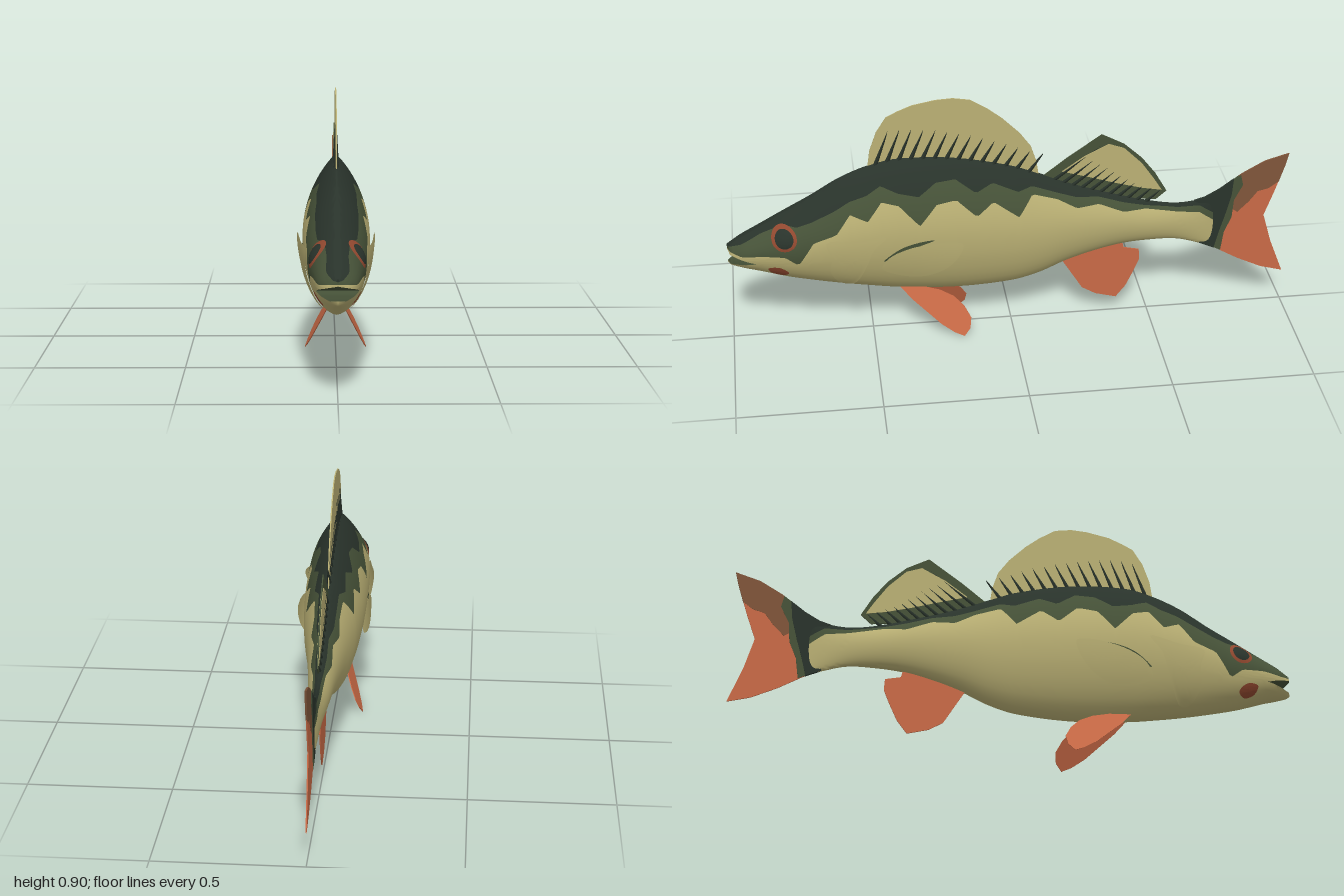
import * as THREE from 'three';
import { toCreasedNormals, mergeGeometries } from 'three/addons/utils/BufferGeometryUtils.js';

const mat = (name, color) => {
  const m = new THREE.MeshStandardMaterial({ color, side: THREE.DoubleSide });
  m.name = name;
  return m;
};

// Body stations: [z, top, bottom, half width]
const STATIONS = [
  [1, 0.388, 0.315, 0], [0.99, 0.395, 0.305, 0.034], [0.95, 0.422, 0.292, 0.058], [0.9, 0.45, 0.278, 0.072],
  [0.8, 0.507, 0.245, 0.086], [0.7, 0.562, 0.22, 0.097], [0.6, 0.622, 0.198, 0.105], [0.5, 0.663, 0.18, 0.11],
  [0.4, 0.685, 0.165, 0.112], [0.2, 0.675, 0.15, 0.109], [0, 0.63, 0.16, 0.094], [-0.1, 0.59, 0.185, 0.081],
  [-0.2, 0.548, 0.228, 0.067], [-0.3, 0.512, 0.26, 0.055], [-0.4, 0.48, 0.282, 0.045], [-0.5, 0.45, 0.289, 0.036],
  [-0.6, 0.434, 0.285, 0.024], [-0.7, 0.445, 0.255, 0.012], [-0.74, 0.46, 0.245, 0.003],
];
// Colour borders: [z, dark back edge, green edge]
const BORDERS = [
  [1, 0.38, 0.372], [0.95, 0.4, 0.362], [0.88, 0.44, 0.37], [0.8, 0.475, 0.365], [0.755, 0.47, 0.33],
  [0.7, 0.49, 0.42], [0.62, 0.53, 0.45], [0.57, 0.56, 0.52], [0.51, 0.58, 0.495], [0.46, 0.61, 0.56],
  [0.4, 0.585, 0.545], [0.33, 0.57, 0.47], [0.27, 0.61, 0.54], [0.2, 0.615, 0.55], [0.13, 0.565, 0.485],
  [0.07, 0.59, 0.53], [-0.02, 0.55, 0.465], [-0.07, 0.56, 0.535], [-0.16, 0.525, 0.505], [-0.23, 0.5, 0.465],
  [-0.31, 0.49, 0.468], [-0.4, 0.46, 0.43], [-0.48, 0.44, 0.43], [-0.6, 0.42, 0.405], [-0.68, 0.42, 0.395], [-0.74, 0.38, 0.35],
];

// Table lookup by z (descending), straight or smooth between rows
function lookup(table, z, col, smooth) {
  let i = 0;
  while (i < table.length - 2 && z < table[i + 1][0]) i++;
  const a = table[i], b = table[i + 1], h = b[0] - a[0];
  const t = THREE.MathUtils.clamp((z - a[0]) / h, 0, 1);
  if (!smooth) return a[col] + (b[col] - a[col]) * t;
  const p = table[Math.max(i - 1, 0)], n = table[Math.min(i + 2, table.length - 1)];
  const m0 = (b[col] - p[col]) / (b[0] - p[0]) * h, m1 = (n[col] - a[col]) / (n[0] - a[0]) * h;
  const t2 = t * t, t3 = t2 * t;
  return (2 * t3 - 3 * t2 + 1) * a[col] + (t3 - 2 * t2 + t) * m0 + (3 * t2 - 2 * t3) * b[col] + (t3 - t2) * m1;
}
const section = (z) => ({
  top: lookup(STATIONS, z, 1, true), bot: lookup(STATIONS, z, 2, true), w: Math.max(0, lookup(STATIONS, z, 3, z < 0.95)),
});
const angleAt = (s, y) => Math.acos(THREE.MathUtils.clamp(1 - 2 * (y - s.bot) / (s.top - s.bot), -1, 1));
const widthAt = (s, a) => s.w * Math.pow(Math.max(0, Math.sin(a)), a > Math.PI / 2 ? 1.75 : 1.2);
const bodyX = (z, y) => { const s = section(z); return widthAt(s, angleAt(s, y)); };

// Triangles of a grid of points, flipped for the right side
function gridTriangles(out, pts, side) {
  for (let i = 0; i < pts.length - 1; i++) for (let j = 0; j < pts[i].length - 1; j++) {
    const a = pts[i][j], b = pts[i + 1][j], c = pts[i + 1][j + 1], d = pts[i][j + 1];
    for (const t of side > 0 ? [a, b, c, a, c, d] : [a, c, b, a, d, c]) out.push(...t);
  }
}
function fromPositions(pos) {
  const g = new THREE.BufferGeometry();
  g.setAttribute('position', new THREE.Float32BufferAttribute(pos, 3));
  return g;
}

// Body skin in horizontal colour bands, with an open mouth at the front
function bodyGeometry() {
  const zs = [1, 0.996];
  for (let i = 0; i <= 144; i++) zs.push(0.99 - 1.73 * i / 144);
  const edges = (z) => {
    const s = section(z), m = s.bot + 0.33 * (s.top - s.bot);
    const open = Math.max(0, (z - 0.9) / 0.1);
    const hi = m + open * 0.028, lo = m - open * 0.018;
    const green = Math.max(hi, lookup(BORDERS, z, 2)), dark = Math.max(green, lookup(BORDERS, z, 1));
    return { s, list: [s.bot, lo, hi, green, dark, s.top] };
  };
  const bands = [[0, 1, 7, 2], [2, 3, 8, 2], [3, 4, 4, 1], [4, 5, 7, 0]];
  const pos = [], groups = [];
  for (const [from, to, rows, material] of bands) {
    const start = pos.length / 3;
    for (const side of [1, -1]) {
      gridTriangles(pos, zs.map((z) => {
        const { s, list } = edges(z), a0 = angleAt(s, list[from]), a1 = angleAt(s, list[to]);
        return Array.from({ length: rows + 1 }, (_, j) => {
          const a = a0 + (a1 - a0) * j / rows;
          return [side * widthAt(s, a), s.bot + (s.top - s.bot) * (1 - Math.cos(a)) / 2, z];
        });
      }), side);
    }
    groups.push([start, pos.length / 3 - start, material]);
  }
  // Roof and floor of the mouth
  const start = pos.length / 3;
  for (const [k, side] of [[2, 1], [1, -1]]) {
    gridTriangles(pos, zs.filter((z) => z > 0.89).map((z) => {
      const { s, list } = edges(z), x = widthAt(s, angleAt(s, list[k]));
      return [[-x, list[k], z], [x, list[k], z]];
    }), -side);
  }
  groups.push([start, pos.length / 3 - start, 1]);
  const g = toCreasedNormals(fromPositions(pos), 1.1);
  g.clearGroups();
  groups.forEach((v) => g.addGroup(...v));
  return g;
}

// Closed outline in (z, y) laid over the body, raised by lift(z, y, k), k = 0 centre to 1 rim
function patch(outline, side, lift) {
  const curve = new THREE.CatmullRomCurve3(outline.map(([z, y]) => new THREE.Vector3(0, y, z)), true, 'centripetal');
  const rim = curve.getPoints(40);
  const c = rim.slice(1).reduce((v, p) => v.addScaledVector(p, 1 / 40), new THREE.Vector3());
  const pts = [];
  for (let k = 0; k <= 6; k++) pts.push(rim.map((p) => {
    const q = c.clone().lerp(p, k / 6);
    return [side * (bodyX(q.z, q.y) + lift(q.z, q.y, k / 6)), q.y, q.z];
  }));
  const area = rim.reduce((s, p, i) => { const n = rim[(i + 1) % rim.length]; return s + p.z * n.y - n.z * p.y; }, 0);
  const pos = [];
  gridTriangles(pos, pts, area < 0 ? side : -side);
  return toCreasedNormals(fromPositions(pos), 1);
}
const circle = (z, y, r) => Array.from({ length: 12 }, (_, i) => [z + r * Math.cos(i * Math.PI / 6), y + r * Math.sin(i * Math.PI / 6)]);

// Flat upright plate from an outline in (z, y)
function plate(outline, thick) {
  const shape = new THREE.Shape(outline.map(([z, y]) => new THREE.Vector2(-z, y)));
  const g = new THREE.ExtrudeGeometry(shape, { depth: thick, bevelEnabled: false });
  return g.translate(0, 0, -thick / 2).rotateY(Math.PI / 2);
}
// Tapered fin ray between two (z, y) points
function ray([z0, y0], [z1, y1], r) {
  const d = new THREE.Vector3(0, y1 - y0, z1 - z0), len = d.length();
  const g = new THREE.CylinderGeometry(r * 0.15, r, len, 5);
  g.applyQuaternion(new THREE.Quaternion().setFromUnitVectors(new THREE.Vector3(0, 1, 0), d.normalize()));
  return g.translate(0, (y0 + y1) / 2, (z0 + z1) / 2);
}

export function createModel() {
  const fish = new THREE.Group();
  fish.name = 'fish';
  const dark = mat('darkBack', 0x29332b), green = mat('mossGreen', 0x465238), khaki = mat('khakiFlank', 0xbab074);
  const orange = mat('finOrange', 0xc96a46), brown = mat('tailBrown', 0x80553a), rust = mat('rust', 0x91482f);
  const add = (name, geometry, material) => {
    const mesh = new THREE.Mesh(geometry, material);
    mesh.name = name;
    fish.add(mesh);
    return mesh;
  };

  add('body', bodyGeometry(), [dark, green, khaki]);

  // Spiny front dorsal fin
  add('frontDorsalFin', plate([[0.5, 0.65], [0.49, 0.72], [0.465, 0.79], [0.43, 0.845], [0.39, 0.865], [0.34, 0.885], [0.26, 0.9],
    [0.2, 0.903], [0.14, 0.893], [0.08, 0.855], [0.03, 0.815], [-0.03, 0.755], [-0.07, 0.7], [-0.09, 0.64], [-0.1, 0.575], [0.1, 0.64], [0.35, 0.67]], 0.004), khaki);
  const spines = [];
  for (let i = 0; i < 14; i++) {
    const z = 0.475 - i * 0.041, y = section(z).top - 0.015, h = 0.15 - 0.006 * i;
    spines.push(ray([z, y], [z - 0.055, y + h], 0.0095));
  }
  add('frontDorsalSpines', mergeGeometries(spines), dark);

  // Soft rear dorsal fin
  add('rearDorsalFin', plate([[-0.11, 0.575], [-0.2, 0.645], [-0.32, 0.728], [-0.4, 0.685], [-0.465, 0.625], [-0.515, 0.56],
    [-0.557, 0.487], [-0.52, 0.455], [-0.4, 0.47], [-0.25, 0.52]], 0.004), green);
  add('rearDorsalPanel', plate([[-0.18, 0.592], [-0.26, 0.648], [-0.345, 0.69], [-0.4, 0.67], [-0.465, 0.605], [-0.51, 0.54],
    [-0.54, 0.492], [-0.47, 0.505], [-0.38, 0.53], [-0.28, 0.562]], 0.007), khaki);
  const rays = [];
  for (let i = 0; i < 11; i++) {
    const z = -0.15 - i * 0.033, t = i / 10;
    rays.push(ray([z, section(z).top - 0.01], [-0.34 - 0.205 * t, 0.7 - 0.2 * t], 0.008));
  }
  add('rearDorsalRays', mergeGeometries(rays), dark);

  // Tail fin with dark root and brown upper lobe
  add('tailFin', plate([[-0.68, 0.43], [-0.75, 0.475], [-0.83, 0.535], [-0.91, 0.58], [-0.995, 0.605], [-0.985, 0.56], [-0.95, 0.45],
    [-0.918, 0.36], [-0.95, 0.25], [-1, 0.12], [-0.92, 0.142], [-0.83, 0.185], [-0.75, 0.232], [-0.68, 0.27]], 0.004), orange);
  add('tailUpperLobe', plate([[-0.8, 0.513], [-0.83, 0.536], [-0.91, 0.581], [-0.996, 0.606], [-0.985, 0.56], [-0.965, 0.495],
    [-0.93, 0.47], [-0.89, 0.46], [-0.86, 0.42], [-0.82, 0.38], [-0.79, 0.4]], 0.006), brown);
  add('tailGreenBand', plate([[-0.68, 0.43], [-0.75, 0.476], [-0.825, 0.532], [-0.835, 0.49], [-0.805, 0.43], [-0.8, 0.36],
    [-0.775, 0.3], [-0.765, 0.225], [-0.73, 0.243], [-0.7, 0.3]], 0.0075), green);
  add('tailDarkRoot', plate([[-0.66, 0.437], [-0.7, 0.449], [-0.75, 0.477], [-0.8, 0.514], [-0.795, 0.45], [-0.775, 0.37], [-0.755, 0.3],
    [-0.74, 0.237], [-0.685, 0.262], [-0.715, 0.31], [-0.73, 0.37], [-0.715, 0.405]], 0.0095), dark);

  // Anal fin
  add('analFin', plate([[-0.18, 0.235], [-0.22, 0.17], [-0.26, 0.105], [-0.31, 0.075], [-0.385, 0.055], [-0.42, 0.1], [-0.45, 0.165],
    [-0.468, 0.21], [-0.465, 0.25], [-0.41, 0.262], [-0.4, 0.3], [-0.28, 0.275]], 0.004), orange);

  for (const side of [1, -1]) {
    const tag = side > 0 ? 'left' : 'right';
    // Pelvic fin, splayed outward towards its tip
    const pelvic = plate([[0.4, 0.18], [0.36, 0.135], [0.31, 0.09], [0.26, 0.045], [0.215, 0.015], [0.18, 0], [0.158, 0.025], [0.153, 0.06],
      [0.175, 0.1], [0.21, 0.135], [0.26, 0.16], [0.33, 0.178]], 0.003);
    const p = pelvic.attributes.position;
    for (let i = 0; i < p.count; i++) p.setX(i, p.getX(i) + side * (0.033 + (0.172 - p.getY(i)) * 0.42));
    pelvic.computeVertexNormals();
    add(tag + 'PelvicFin', pelvic, orange);

    // Pectoral fin lying along the flank, free at the rear
    add(tag + 'PectoralFin', patch([[0.465, 0.3], [0.42, 0.272], [0.33, 0.258], [0.25, 0.29], [0.2, 0.345], [0.183, 0.4], [0.22, 0.41],
      [0.3, 0.405], [0.38, 0.385], [0.44, 0.35]], side, (z) => 0.003 + 0.08 * Math.max(0, 0.46 - z)), khaki);
    add(tag + 'PectoralShade', patch([[0.46, 0.335], [0.4, 0.358], [0.33, 0.393], [0.28, 0.412], [0.33, 0.408], [0.4, 0.385]], side, () => 0.0025), green);

    // Gill cover with raised rear edge
    add(tag + 'GillCover', patch([[0.655, 0.42], [0.56, 0.43], [0.45, 0.445], [0.495, 0.39], [0.52, 0.32], [0.57, 0.22], [0.61, 0.225],
      [0.645, 0.29], [0.64, 0.36]], side, (z) => 0.001 + 0.085 * Math.max(0, 0.65 - z)), khaki);
    add(tag + 'CheekSpot', patch([[0.86, 0.315], [0.82, 0.318], [0.79, 0.288], [0.81, 0.272], [0.85, 0.287]], side, () => 0.002), rust);

    // Eye: ring and domed pupil
    add(tag + 'EyeRing', patch(circle(0.8, 0.433, 0.044), side, (z, y, k) => 0.002 + 0.006 * (1 - k * k)), rust);
    add(tag + 'EyePupil', patch(circle(0.8, 0.433, 0.032), side, (z, y, k) => 0.0055 + 0.006 * (1 - k * k)), dark);
  }
  return fish;
}
